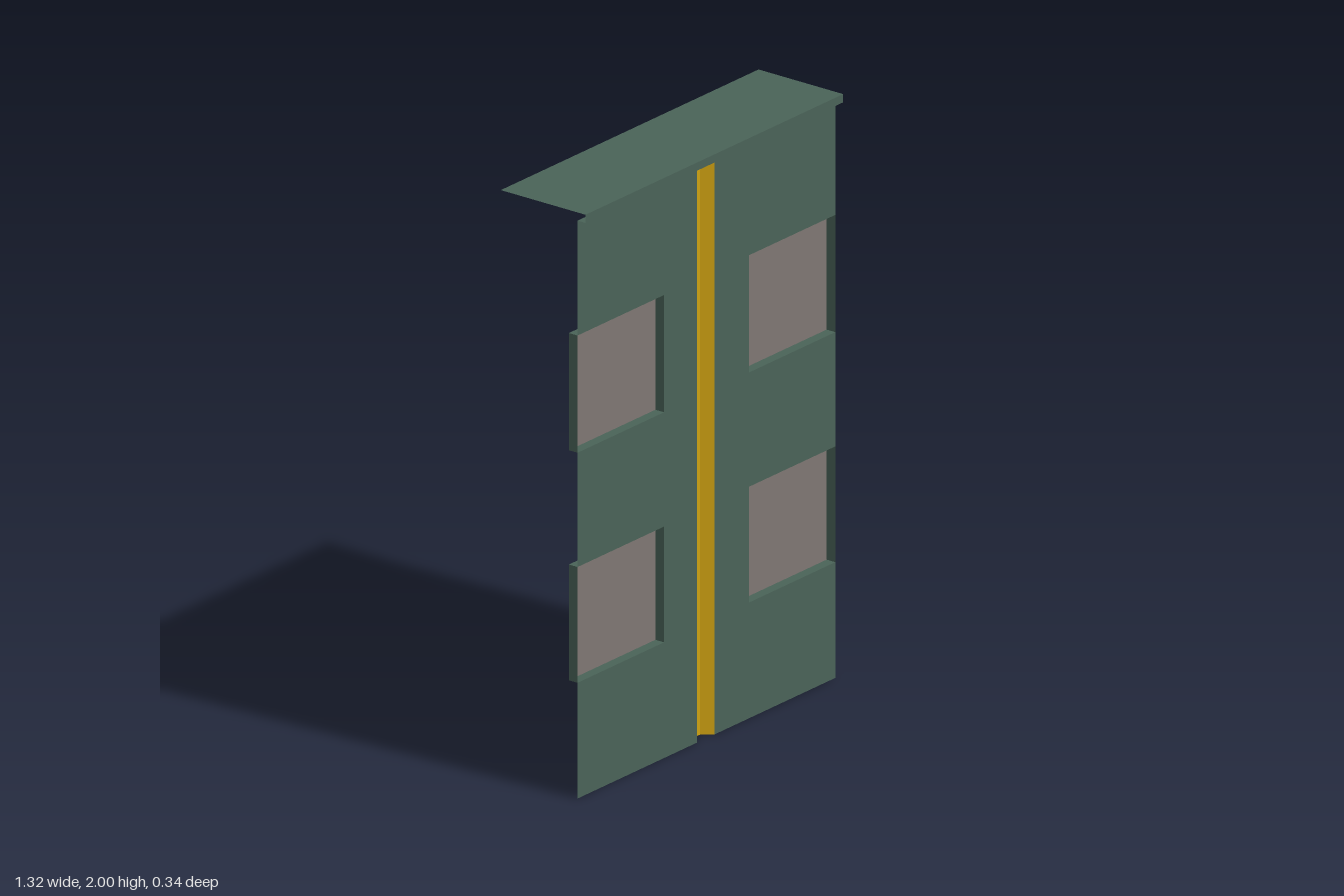
import * as THREE from 'three';

const paint = (color) => new THREE.MeshStandardMaterial({ color, side: THREE.DoubleSide, flatShading: true });

// Folded sheet: sweeps an open polyline of [x, y, z] points along a straight vector.
function foldedSheet(points, sweep) {
  const pos = [];
  for (let i = 0; i + 1 < points.length; i++) {
    const a = points[i], b = points[i + 1];
    const c = b.map((v, k) => v + sweep[k]);
    const d = a.map((v, k) => v + sweep[k]);
    pos.push(...a, ...b, ...c, ...a, ...c, ...d);
  }
  const geo = new THREE.BufferGeometry();
  geo.setAttribute('position', new THREE.Float32BufferAttribute(pos, 3));
  geo.computeVertexNormals();
  return geo;
}

export function createModel() {
  const model = new THREE.Group();
  const green = paint(0x4a6358), grey = paint(0x7f7773), yellow = paint(0xcfa212);
  const add = (name, geo, mat) => {
    const mesh = new THREE.Mesh(geo, mat);
    mesh.name = name;
    model.add(mesh);
    return mesh;
  };

  const W = 0.66, H = 2, front = 0.14, back = -0.17, lip = 0.172, lipY = 1.972;
  const inner = 0.217, recess = 0.105;
  const windows = [[0.395, 0.79], [1.18, 1.58]];
  const grooveX = { '-1': -0.047, '1': 0.042 };

  for (const side of [-1, 1]) {
    const label = side > 0 ? 'left' : 'right';

    // Front panel, notched at its outer edge for the two windows
    const outline = [[grooveX[side], 0], [side * W, 0]];
    for (const [lo, hi] of windows) {
      outline.push([side * W, lo], [side * inner, lo], [side * inner, hi], [side * W, hi]);
    }
    outline.push([side * W, lipY], [grooveX[side], lipY]);
    if (side < 0) outline.reverse();
    const panel = new THREE.ShapeGeometry(new THREE.Shape(outline.map(([x, y]) => new THREE.Vector2(x, y))));
    add(label + 'FrontPanel', panel.translate(0, 0, front), green);

    // Recessed windows: four reveal walls and a pane
    windows.forEach(([lo, hi], i) => {
      const row = i ? 'Upper' : 'Lower';
      const a = side < 0 ? -W : inner, b = side < 0 ? -inner : W;
      const rim = [[a, lo, front], [b, lo, front], [b, hi, front], [a, hi, front], [a, lo, front]];
      add(label + row + 'WindowReveal', foldedSheet(rim, [0, 0, recess - front]), green);
      const pane = new THREE.PlaneGeometry(b - a, hi - lo);
      add(label + row + 'WindowPane', pane.translate((a + b) / 2, (lo + hi) / 2, recess), grey);
    });

    // Partition wall running to the back
    add(label + 'Partition',
      foldedSheet([[side * inner, 0, front], [side * inner, 0, back]], [0, H, 0]), green);
  }

  // Central folded groove
  add('centreGroove', foldedSheet([
    [grooveX[-1], 0, front], [-0.016, 0, recess], [0.011, 0, recess], [grooveX[1], 0, front],
  ], [0, lipY, 0]), yellow);

  // Roof with a shallow lip that returns to the front panels
  add('roof', foldedSheet([
    [-W, H, back], [-W, H, lip], [-W, lipY, lip], [-W, lipY, front],
  ], [2 * W, 0, 0]), green);

  return model;
}
